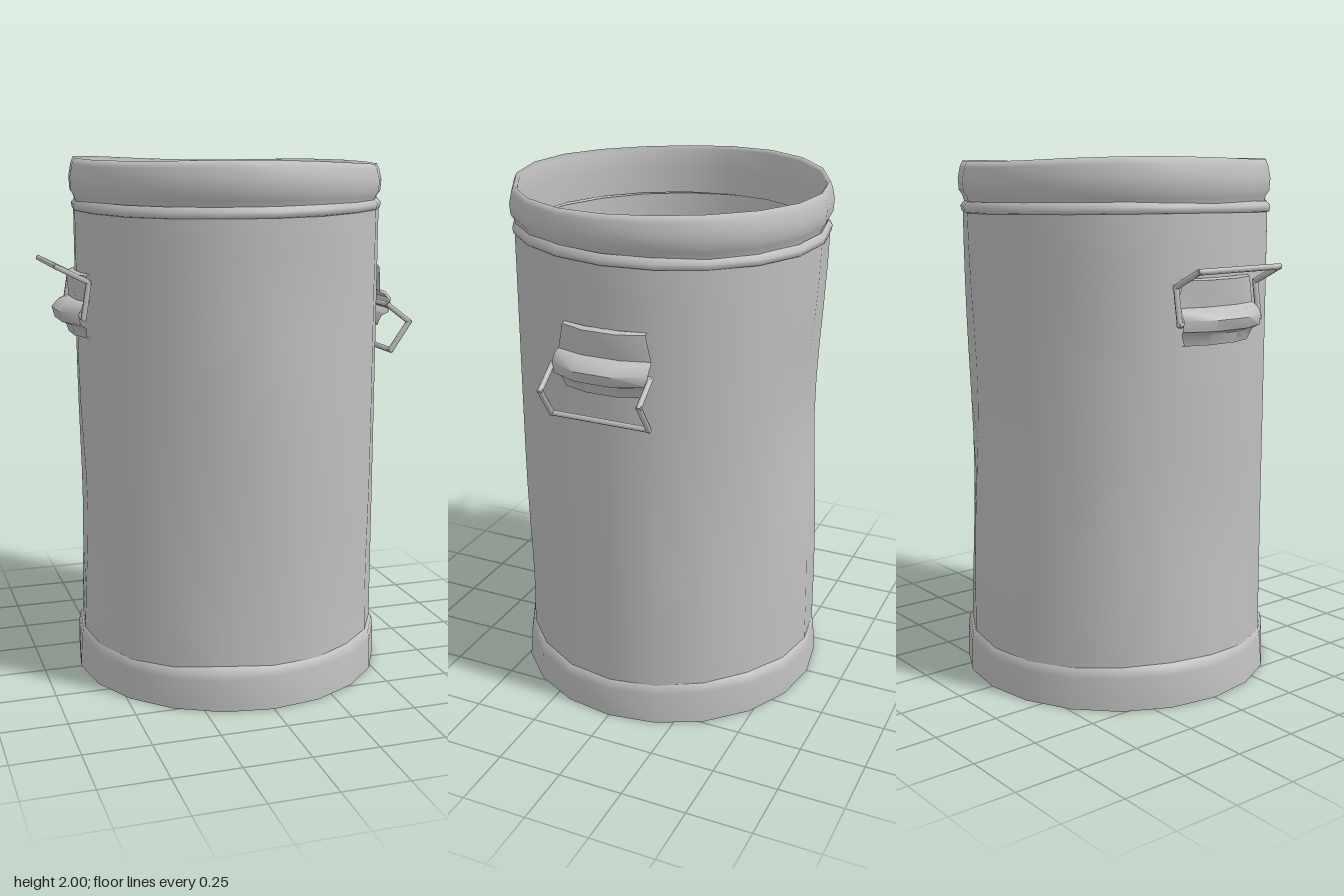
import * as THREE from 'three';
import { mergeVertices, toCreasedNormals } from 'three/addons/utils/BufferGeometryUtils.js';

const SEGMENTS = 20;

// Dents: angle from +z towards +x, height, angular width, vertical width, depth
const DENTS = [
  [Math.PI, 1.1, 0.42, 0.42, 0.048],
  [-Math.PI / 2, 0.65, 0.35, 0.35, 0.024],
  [-0.3, 0.6, 0.22, 0.5, 0.02],
  [0.2, 1.5, 0.2, 0.22, 0.018],
  [2.4, 0.75, 0.25, 0.45, 0.025],
  [-2.5, 1.4, 0.25, 0.3, 0.018],
  [0.75, 0.35, 0.25, 0.3, 0.015],
];

function dentDepth(angle, y) {
  let depth = 0;
  for (const [a, h, aw, hw, d] of DENTS) {
    const da = Math.atan2(Math.sin(angle - a), Math.cos(angle - a));
    depth += d * Math.exp(-((da / aw) ** 2) - ((y - h) / hw) ** 2);
  }
  return depth;
}

// Turned surface whose points are moved by rule(angle, radius, y) -> [radius, y]
function turned(profile, rule, crease) {
  const points = profile.map(([r, y]) => new THREE.Vector2(r, y));
  let g = new THREE.LatheGeometry(points, SEGMENTS);
  const p = g.attributes.position;
  for (let i = 0; i < p.count; i++) {
    const angle = Math.atan2(p.getX(i), p.getZ(i));
    const [r, y] = rule(angle, Math.hypot(p.getX(i), p.getZ(i)), p.getY(i));
    p.setXYZ(i, r * Math.sin(angle), y, r * Math.cos(angle));
  }
  g.deleteAttribute('uv');
  g.deleteAttribute('normal');
  g = mergeVertices(g, 1e-4);
  g.computeVertexNormals();
  return crease ? toCreasedNormals(g, crease) : g;
}

// Pressed bracket: rows of [x, y, half width, end inset] joined across z
function bracketGeometry() {
  const rows = [
    [0.585, 1.58, 0.16, 0.02], [0.615, 1.575, 0.16, 0.035], [0.605, 1.48, 0.18, 0.03],
    [0.645, 1.47, 0.185, 0.05], [0.672, 1.44, 0.185, 0.055], [0.66, 1.4, 0.185, 0.05],
    [0.622, 1.385, 0.17, 0.035], [0.61, 1.345, 0.15, 0.03], [0.58, 1.345, 0.15, 0.02],
  ];
  const stations = [-1, -0.4, 0.4, 1];
  const positions = [], index = [];
  rows.forEach(([x, y, half, inset], i) => {
    stations.forEach((t, j) => {
      positions.push(x - (Math.abs(t) === 1 ? inset : 0), y, t * half);
      if (i && j) {
        const a = (i - 1) * 4 + j - 1, b = a + 1, c = a + 4, d = a + 5;
        index.push(a, b, c, b, d, c);
      }
    });
  });
  const g = new THREE.BufferGeometry();
  g.setAttribute('position', new THREE.Float32BufferAttribute(positions, 3));
  g.setIndex(index);
  return toCreasedNormals(g, 0.9);
}

export function createModel() {
  const group = new THREE.Group();
  const metal = new THREE.MeshStandardMaterial({ color: 0xc0c0c0, side: THREE.DoubleSide });
  metal.name = 'galvanised metal';

  const add = (parent, name, geometry) => {
    const mesh = new THREE.Mesh(geometry, metal);
    mesh.name = name;
    parent.add(mesh);
    return mesh;
  };

  // Dented wall
  const wall = [];
  for (let i = 0; i <= 12; i++) wall.push([0.588, 0.02 + i * 0.15]);
  add(group, 'wall', turned(wall, (a, r, y) => [r - dentDepth(a, y), y]));

  // Floor
  const floor = add(group, 'floor', new THREE.CircleGeometry(0.6, SEGMENTS));
  floor.rotation.x = Math.PI / 2;
  floor.position.y = 0.003;

  // Base band with a slightly bent upper edge
  add(group, 'baseBand', turned(
    [[0.605, 0], [0.604, 0.12], [0.598, 0.155], [0.575, 0.17]],
    (a, r, y) => [r - (y > 0.1 ? 0.005 * (1 + Math.sin(4 * a)) : 0), y > 0.1 ? y + 0.006 * Math.sin(3 * a + 1) : y],
    0.9));

  // Lip below the rim
  add(group, 'lip', turned(
    [[0.575, 1.795], [0.593, 1.802], [0.596, 1.822], [0.58, 1.84]],
    (a, r, y) => [r + 0.003 * Math.sin(5 * a), y + 0.006 * Math.sin(2 * a - 0.6)]));

  // Rolled rim with a bent top edge
  add(group, 'rim', turned(
    [[0.58, 1.83], [0.587, 1.855], [0.6, 1.875], [0.603, 1.92], [0.594, 1.965],
      [0.584, 1.988], [0.572, 1.975], [0.567, 1.9], [0.57, 1.8]],
    (a, r, y) => {
      const bend = Math.max(0, (y - 1.85) / 0.14);
      return [r + 0.004 * Math.sin(3 * a + 0.5) - 0.003, y + bend * (0.009 * Math.sin(-a) + 0.006 * Math.cos(3 * a) - 0.002)];
    }));

  // Thin rod between two points
  const rod = (parent, from, to) => {
    const a = new THREE.Vector3(...from), b = new THREE.Vector3(...to);
    const dir = b.clone().sub(a);
    const mesh = add(parent, 'handleRod', new THREE.CylinderGeometry(0.011, 0.011, dir.length() + 0.012, 6));
    mesh.position.copy(a).add(b).multiplyScalar(0.5);
    mesh.quaternion.setFromUnitVectors(new THREE.Vector3(0, 1, 0), dir.normalize());
  };

  // Bracket and bail; the bail hangs on one side and is raised on the other
  const bracket = bracketGeometry();
  const bails = {
    leftHandle: [[0.605, 1.43], [0.698, 1.36], [0.622, 1.25]],
    rightHandle: [[0.6, 1.425], [0.578, 1.555], [0.697, 1.615]],
  };
  for (const [name, path] of Object.entries(bails)) {
    const handle = new THREE.Group();
    handle.name = name;
    add(handle, 'bracket', bracket);
    for (const z of [-0.19, 0.19]) {
      for (let i = 1; i < path.length; i++) rod(handle, [...path[i - 1], z], [...path[i], z]);
    }
    for (const end of [path[0], path[2]]) rod(handle, [...end, -0.19], [...end, 0.19]);
    if (name === 'rightHandle') handle.rotation.y = Math.PI;
    group.add(handle);
  }
  return group;
}
